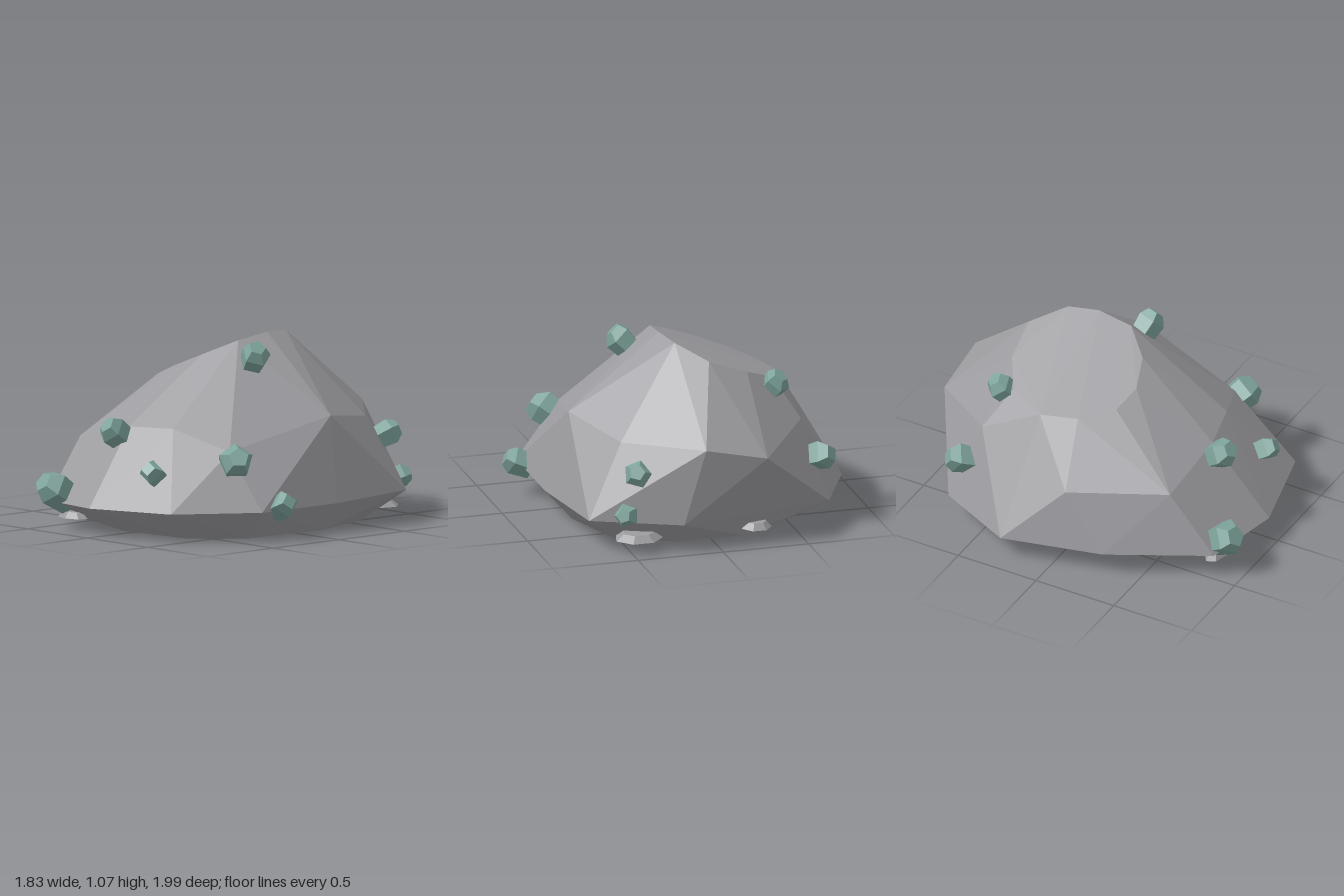
import * as THREE from 'three';
import { ConvexGeometry } from 'three/addons/geometries/ConvexGeometry.js';

const stone = new THREE.MeshStandardMaterial({ color: 0x9c9ca0 });
stone.name = 'grey stone';
const crystal = new THREE.MeshStandardMaterial({ color: 0x7da39b });
crystal.name = 'pale teal crystal';

// Corner rings of the boulder, as [x, y, z]
const bottomRing = [
  [0.65, 0, -0.2], [0.62, 0, 0.33], [0.38, 0, 0.6], [-0.03, 0.01, 0.7], [-0.4, 0.02, 0.6], [-0.6, 0.02, 0.2],
  [-0.63, 0.02, -0.22], [-0.5, 0.02, -0.6], [-0.18, 0.01, -0.78], [0.2, 0.01, -0.78], [0.52, 0, -0.6],
];
const wideRing = [
  [0.8, 0.17, -0.17], [0.8, 0.17, 0.4], [0.51, 0.17, 0.83], [-0.03, 0.16, 0.96], [-0.49, 0.15, 0.86], [-0.77, 0.14, 0.3],
  [-0.91, 0.14, -0.28], [-0.7, 0.15, -0.73], [0.22, 0.17, -0.97], [0.72, 0.18, -0.77],
];
const shoulderRing = [
  [0.68, 0.65, -0.23], [0.55, 0.49, 0.42], [0.22, 0.6, 0.55], [-0.07, 0.59, 0.62], [-0.51, 0.49, 0.59], [-0.75, 0.47, 0.05],
  [-0.58, 0.6, -0.58], [-0.26, 0.53, -1], [0.1, 0.61, -1], [0.5, 0.59, -0.66],
];
const topRing = [
  [0.15, 1.07, -0.23], [0.14, 1.04, -0.02], [0, 0.96, 0.13], [-0.18, 0.88, 0.19], [-0.34, 0.82, 0.15], [-0.48, 0.785, -0.02],
  [-0.54, 0.78, -0.23], [-0.45, 0.82, -0.45], [-0.27, 0.9, -0.56], [-0.04, 0.99, -0.58], [0.11, 1.06, -0.41],
];

function hull(points) {
  return new ConvexGeometry(points.map((p) => new THREE.Vector3(...p)));
}

// Stubby prism with a bevelled, slightly skewed cap, centred on the origin along y
function crystalGeometry(size, sides, skew) {
  const levels = [[-1.1, 0.85], [0.35, 1], [0.95, 0.58]];
  const points = [];
  levels.forEach(([y, r], level) => {
    for (let i = 0; i < sides; i++) {
      const a = (i / sides) * Math.PI * 2 + skew;
      const shift = level === 2 ? 0.15 * Math.sin(skew * 3) : 0;
      points.push([size * (Math.cos(a) * r + shift), size * y, size * Math.sin(a) * r]);
    }
  });
  return hull(points);
}

export function createModel() {
  const model = new THREE.Group();
  model.name = 'crystalBoulder';

  const boulder = new THREE.Mesh(hull([...bottomRing, ...wideRing, ...shoulderRing, ...topRing]), stone);
  boulder.name = 'boulder';
  model.add(boulder);

  // Crystals: centre, outward direction, size
  const crystals = [
    [[-0.11, 0.56, 0.69], [-0.1, 0.6, 0.8], 0.088],
    [[0.29, 0.37, 0.76], [0.25, 0.5, 0.8], 0.075],
    [[-0.39, 0.22, 0.88], [-0.15, 0.55, 0.8], 0.105],
    [[0.61, 0.44, 0.43], [0.7, 0.5, 0.5], 0.1],
    [[0.83, 0.2, 0.27], [0.9, 0.4, 0.15], 0.08],
    [[0.3, 0.96, 0], [0.65, 0.7, 0.25], 0.085],
    [[-0.44, 0.8, -0.53], [-0.45, 0.75, -0.45], 0.08],
    [[-0.66, 0.4, -0.67], [-0.65, 0.35, -0.65], 0.088],
    [[0.46, 0.46, -0.86], [0.4, 0.4, -0.8], 0.08],
    [[0.53, 0.23, -0.88], [0.4, 0.3, -0.8], 0.07],
  ];
  const up = new THREE.Vector3(0, 1, 0);
  crystals.forEach(([position, direction, size], i) => {
    const mesh = new THREE.Mesh(crystalGeometry(size, i % 3 === 1 ? 4 : 5, i * 0.7 + 0.4), crystal);
    mesh.name = 'crystal' + (i + 1);
    mesh.position.set(...position);
    mesh.quaternion.setFromUnitVectors(up, new THREE.Vector3(...direction).normalize());
    model.add(mesh);
  });

  // Thin stone flakes under the rim: centre, half width, half depth
  const flakes = [
    [[0.44, 0.08, -0.8], 0.14, 0.12],
    [[-0.25, 0.08, -0.8], 0.09, 0.09],
    [[-0.34, 0.08, 0.8], 0.11, 0.06],
  ];
  flakes.forEach(([position, width, depth], i) => {
    const geometry = new THREE.CylinderGeometry(0.65, 1, 1, 7).toNonIndexed();
    geometry.scale(width, 0.035, depth);
    geometry.computeVertexNormals();
    const mesh = new THREE.Mesh(geometry, stone);
    mesh.name = 'stoneFlake' + (i + 1);
    mesh.position.set(...position);
    model.add(mesh);
  });

  return model;
}
